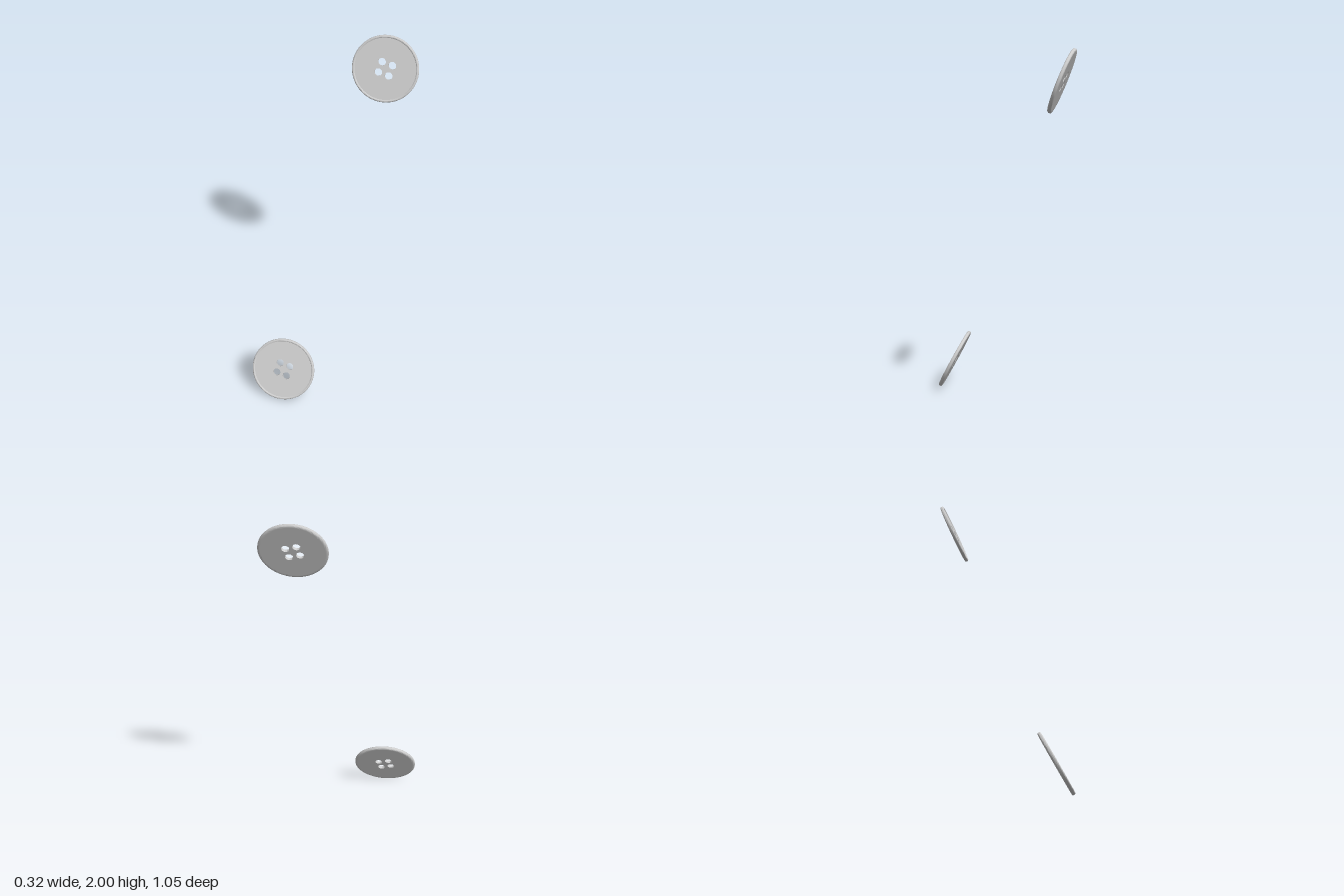
import * as THREE from 'three';
import { toCreasedNormals } from 'three/addons/utils/BufferGeometryUtils.js';

const SEGMENTS = 96;
const WEB_RADIUS = 0.167;  // recessed centre
const BACK = -0.01, FLOOR = 0.006;
const HOLE_RADIUS = 0.021, HOLE_OFFSET = 0.042;

const material = new THREE.MeshStandardMaterial({ color: 0xcccccc });

// Flat centre with four thread holes, facing +z
function createCentre() {
  const shape = new THREE.Shape().absarc(0, 0, WEB_RADIUS, 0, Math.PI * 2);
  for (let i = 0; i < 4; i++) {
    const a = Math.PI / 6 + i * Math.PI / 2;
    shape.holes.push(new THREE.Path().absarc(
      HOLE_OFFSET * Math.cos(a), HOLE_OFFSET * Math.sin(a), HOLE_RADIUS, 0, Math.PI * 2, true));
  }
  const geometry = new THREE.ExtrudeGeometry(shape, {
    depth: FLOOR - BACK, bevelEnabled: false, curveSegments: SEGMENTS / 2,
  });
  geometry.translate(0, 0, BACK);
  const mesh = new THREE.Mesh(toCreasedNormals(geometry, 0.6), material);
  mesh.name = 'centreWithHoles';
  return mesh;
}

// Slightly raised lip with a rounded outer edge
function createRim() {
  const profile = [
    [WEB_RADIUS, BACK], [0.175, BACK], [0.179, -0.008], [0.181, -0.004], [0.181, 0.003],
    [0.179, 0.007], [0.176, 0.0095], [0.172, 0.0095], [0.169, 0.008], [WEB_RADIUS, FLOOR],
  ].map(([r, h]) => new THREE.Vector2(r, h));
  const geometry = new THREE.LatheGeometry(profile, SEGMENTS);
  geometry.rotateX(Math.PI / 2);
  const mesh = new THREE.Mesh(toCreasedNormals(geometry, 0.7), material);
  mesh.name = 'rim';
  return mesh;
}

function createButton(name, position, normal) {
  const button = new THREE.Group();
  button.name = name;
  button.add(createCentre(), createRim());
  button.position.copy(position);
  button.lookAt(position.clone().add(normal));
  return button;
}

export function createModel() {
  const model = new THREE.Group();
  model.name = 'buttonPair';
  model.add(
    createButton('upperButton', new THREE.Vector3(0, 1.829, -0.408), new THREE.Vector3(0.5, 0.365, 0.785)),
    createButton('lowerButton', new THREE.Vector3(0, 0.166, 0.398), new THREE.Vector3(0.49, 0.46, 0.74)),
  );
  return model;
}
